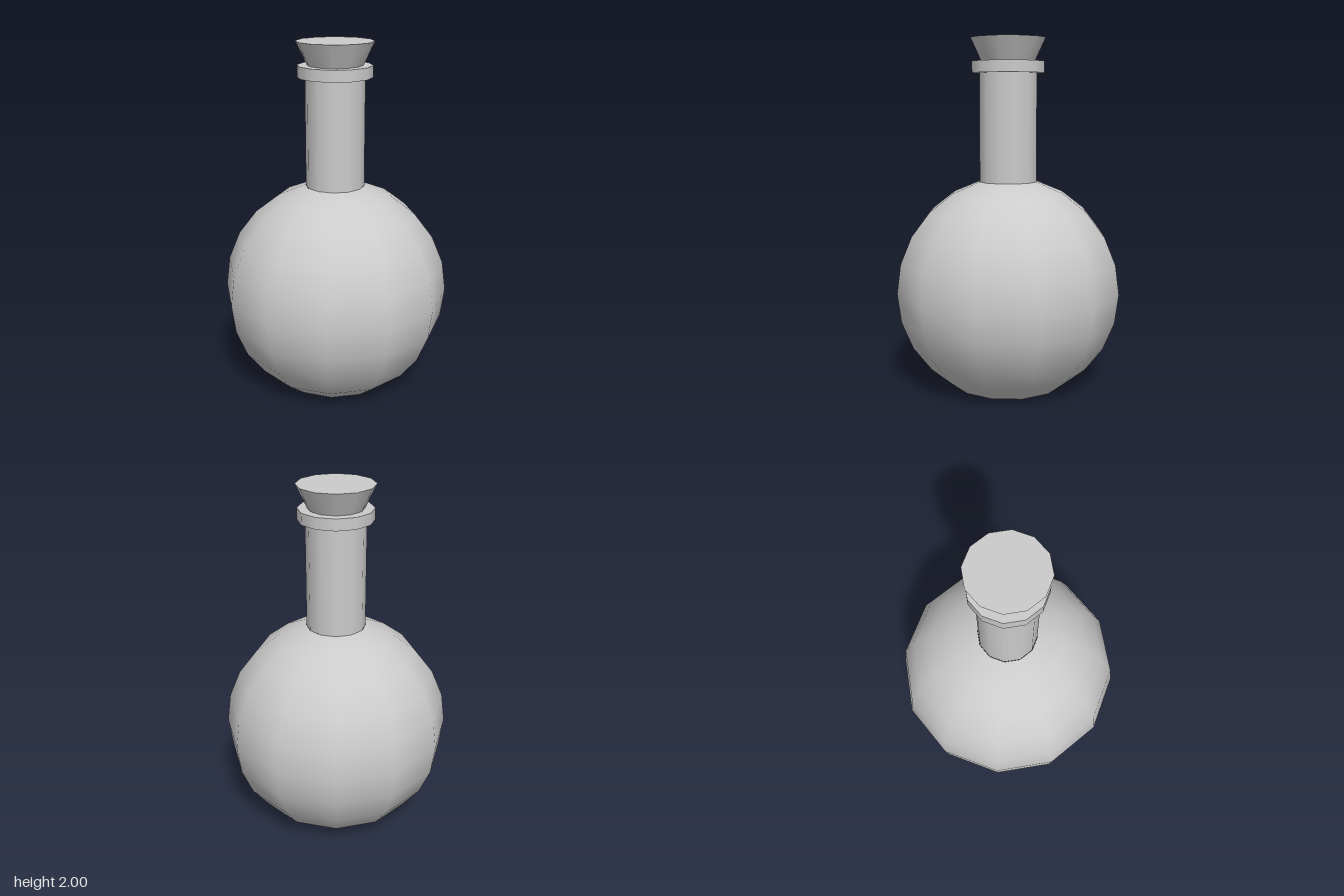
import * as THREE from 'three';

const SIDES = 12;

export function createModel() {
  const model = new THREE.Group();
  model.name = 'flask';
  const material = new THREE.MeshStandardMaterial({ color: 0xcccccc });

  const add = (name, geometry, y) => {
    const mesh = new THREE.Mesh(geometry, material);
    mesh.name = name;
    mesh.position.y = y;
    model.add(mesh);
  };
  const addCylinder = (name, topRadius, bottomRadius, bottom, top) =>
    add(name, new THREE.CylinderGeometry(topRadius, bottomRadius, top - bottom, SIDES), (top + bottom) / 2);

  // Round body: a smooth sphere cut off at the neck and at the base, rings 15 degrees apart
  const radius = 0.65;
  const step = Math.PI / 12;
  const centre = radius * Math.cos(2 * step);
  add('body', new THREE.SphereGeometry(radius, SIDES, 9, 0, Math.PI * 2, step, 9 * step), centre);

  // Flat base closing the body
  add('base', new THREE.CircleGeometry(radius * Math.sin(2 * step), SIDES).rotateX(Math.PI / 2), 0);

  // Neck, lip and flared stopper
  addCylinder('neck', 0.167, 0.167, 1.19, 1.81);
  addCylinder('lip', 0.21, 0.21, 1.805, 1.87);
  addCylinder('stopper', 0.218, 0.155, 1.868, 2);

  return model;
}
